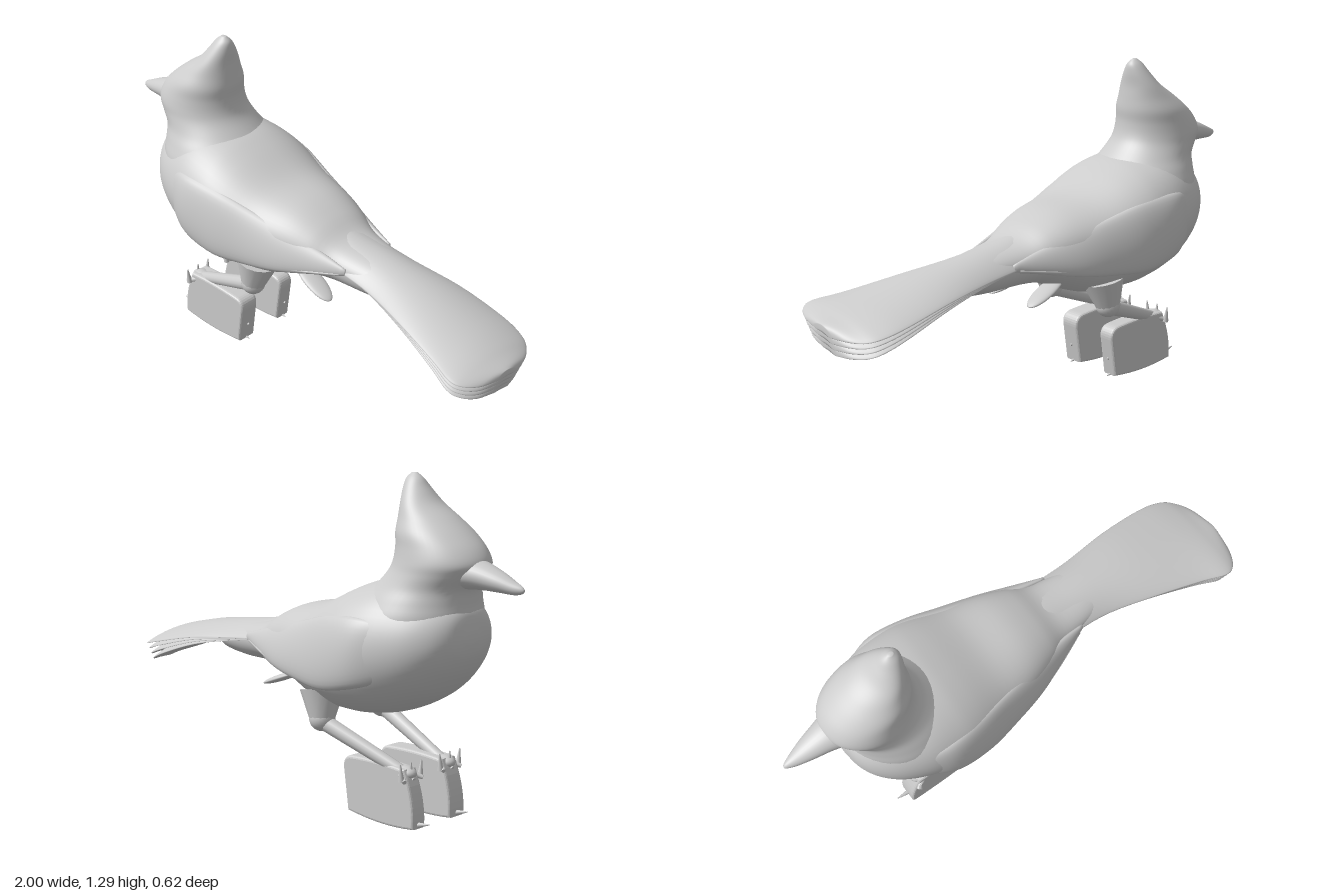
import * as THREE from 'three';

const gray = new THREE.MeshStandardMaterial({ color: 0xcccccc });
gray.name = 'plain gray';

// Smoothly interpolate rows of section numbers
function refine(rows, steps) {
  const out = [];
  const cr = (a, b, c, d, t) => 0.5 * (2 * b + (c - a) * t + (2 * a - 5 * b + 4 * c - d) * t * t + (3 * b - a - 3 * c + d) * t * t * t);
  const at = (i) => rows[Math.max(0, Math.min(rows.length - 1, i))];
  for (let i = 0; i < rows.length - 1; i++)
    for (let k = 0; k < steps; k++)
      out.push(rows[i].map((v, j) => cr(at(i - 1)[j], v, rows[i + 1][j], at(i + 2)[j], k / steps)));
  out.push(rows[rows.length - 1]);
  return out;
}

// Closed loft: ring(section, cos, sin) gives a point of each cross-section
function loft(name, rows, ring, sides = 40, steps = 5) {
  const secs = refine(rows, steps), pos = [], idx = [];
  const ends = [new THREE.Vector3(), new THREE.Vector3()];
  secs.forEach((s, i) => {
    for (let k = 0; k < sides; k++) {
      const a = (k / sides) * Math.PI * 2;
      const p = ring(s, Math.cos(a), Math.sin(a));
      pos.push(...p);
      if (i === 0) ends[0].add(new THREE.Vector3(...p).divideScalar(sides));
      if (i === secs.length - 1) ends[1].add(new THREE.Vector3(...p).divideScalar(sides));
    }
  });
  const n = secs.length, c0 = n * sides, c1 = c0 + 1, last = (n - 1) * sides;
  pos.push(...ends[0].toArray(), ...ends[1].toArray());
  for (let k = 0; k < sides; k++) {
    const m = (k + 1) % sides;
    for (let i = 0; i < n - 1; i++) {
      const a = i * sides + k, b = i * sides + m;
      idx.push(a, b, a + sides, b, b + sides, a + sides);
    }
    idx.push(c0, m, k, c1, last + k, last + m);
  }
  // Turn the faces outward when the enclosed volume comes out negative
  const v = (i) => new THREE.Vector3().fromArray(pos, i * 3);
  let vol = 0;
  for (let i = 0; i < idx.length; i += 3) vol += v(idx[i]).dot(v(idx[i + 1]).cross(v(idx[i + 2])));
  if (vol < 0) idx.reverse();
  const g = new THREE.BufferGeometry();
  g.setAttribute('position', new THREE.Float32BufferAttribute(pos, 3));
  g.setIndex(idx);
  g.computeVertexNormals();
  return mesh(name, g);
}

function mesh(name, geometry) {
  const m = new THREE.Mesh(geometry, gray);
  m.name = name;
  return m;
}

// Tapered round bar between two points
function bar(name, a, b, ra, rb) {
  const p = new THREE.Vector3(...a), q = new THREE.Vector3(...b), d = q.clone().sub(p);
  const m = mesh(name, new THREE.CylinderGeometry(rb, ra, d.length(), 14));
  m.position.copy(p).add(q).multiplyScalar(0.5);
  m.quaternion.setFromUnitVectors(new THREE.Vector3(0, 1, 0), d.normalize());
  return m;
}

function ball(name, p, r, scale = [1, 1, 1]) {
  const m = mesh(name, new THREE.SphereGeometry(r, 24, 16));
  m.position.set(...p);
  m.scale.set(...scale);
  return m;
}

export function createModel() {
  const bird = new THREE.Group();
  bird.name = 'crestedBird';
  const fat = (c, e) => Math.sign(c) * Math.abs(c) ** e;

  // Body: x, top, bottom, half width, height of widest line
  bird.add(loft('body', [
    [-0.78, 0.76, 0.72, 0.03, 0.74], [-0.765, 0.83, 0.66, 0.11, 0.74], [-0.72, 0.87, 0.585, 0.18, 0.72],
    [-0.64, 0.9, 0.505, 0.24, 0.7], [-0.52, 0.93, 0.44, 0.285, 0.68], [-0.4, 0.915, 0.41, 0.3, 0.67],
    [-0.3, 0.88, 0.402, 0.295, 0.66], [-0.15, 0.812, 0.41, 0.26, 0.64], [0, 0.78, 0.465, 0.215, 0.64],
    [0.1, 0.742, 0.505, 0.18, 0.63], [0.2, 0.69, 0.515, 0.14, 0.61], [0.35, 0.665, 0.515, 0.115, 0.6],
    [0.48, 0.64, 0.53, 0.09, 0.59], [0.56, 0.605, 0.56, 0.03, 0.585],
  ], ([x, t, b, w, m], c, s) => [x, m + s * (s > 0 ? t - m : m - b), w * fat(c, 0.88)], 56));

  // Head and crest: y, front x, back x, half width
  bird.add(loft('head', [
    [0.72, -0.74, -0.3, 0.24], [0.8, -0.765, -0.3, 0.235], [0.86, -0.765, -0.335, 0.21], [0.91, -0.772, -0.385, 0.183],
    [0.96, -0.805, -0.43, 0.168], [1.0, -0.822, -0.45, 0.162], [1.05, -0.797, -0.458, 0.152], [1.1, -0.745, -0.456, 0.14],
    [1.15, -0.68, -0.46, 0.113], [1.2, -0.607, -0.464, 0.086], [1.25, -0.562, -0.463, 0.055], [1.285, -0.535, -0.468, 0.03],
    [1.305, -0.51, -0.488, 0.008],
  ], ([y, f, b, w], c, s) => [(f + b) / 2 + ((b - f) / 2) * c, y, w * s], 48));

  // Beak: x, y, half height, half width
  bird.add(loft('beak', [
    [-0.74, 0.968, 0.06, 0.09], [-0.82, 0.965, 0.05, 0.064], [-0.9, 0.95, 0.036, 0.044],
    [-0.96, 0.935, 0.023, 0.025], [-0.99, 0.931, 0.013, 0.012], [-1, 0.93, 0.004, 0.004],
  ], ([x, y, h, w], c, s) => [x, y + h * s, w * c], 28));

  // Tail: layered feather fans; x, right edge, left edge, crown height, arch, tilt
  for (let i = 0; i < 4; i++) {
    bird.add(loft('tailFeathers' + (i + 1), [
      [0.12, -0.13, 0.13, 0.7, 0.08, 0], [0.25, -0.135, 0.13, 0.672, 0.06, 0], [0.4, -0.14, 0.14, 0.652, 0.055, 0],
      [0.6, -0.16, 0.19, 0.622, 0.045, 0.004], [0.8, -0.165, 0.245, 0.578, 0.035, 0.012], [0.9, -0.147, 0.278, 0.553, 0.028, 0.018],
      [0.95, -0.11, 0.26, 0.536, 0.022, 0.018], [0.985, -0.05, 0.2, 0.523, 0.015, 0.012], [1, 0.02, 0.12, 0.515, 0.01, 0.008],
    ], ([x, a, b, y, arch, tilt], c, s) => [
      x - 0.008 * i * x, y - 0.025 * i * x * x - arch * c * c + tilt * c + 0.013 * s,
      (a + b) / 2 + ((b - a) / 2) * c * (1 - 0.025 * i),
    ], 36, 4));
  }

  for (const side of [1, -1]) {
    const label = side > 0 ? 'left' : 'right';

    // Folded wing: x, centre height, distance from middle, half height, half thickness, lean
    const wing = [
      [-0.63, 0.68, 0.215, 0.02, 0.01, 0], [-0.56, 0.685, 0.235, 0.1, 0.03, 0], [-0.45, 0.675, 0.265, 0.13, 0.042, 0.01],
      [-0.3, 0.655, 0.26, 0.135, 0.04, 0.02], [-0.15, 0.64, 0.232, 0.11, 0.036, 0.025], [0, 0.63, 0.2, 0.08, 0.03, 0.025],
      [0.15, 0.625, 0.155, 0.045, 0.022, 0.015], [0.27, 0.62, 0.125, 0.014, 0.008, 0],
    ];
    bird.add(loft(label + 'Wing', wing, ([x, y, z, h, t, lean], c, s) =>
      [x, y + h * s, side * (z + t * c - lean * s)], 32));
    // Flight feathers along the lower wing edge
    bird.add(loft(label + 'FlightFeathers', [
      [-0.36, 0.53, 0.235, 0.008, 0.012], [-0.27, 0.528, 0.235, 0.015, 0.034], [-0.1, 0.55, 0.215, 0.015, 0.04],
      [0.08, 0.58, 0.17, 0.015, 0.04], [0.25, 0.608, 0.12, 0.01, 0.022],
    ], ([x, y, z, h, t], c, s) => [x, y + h * s, side * (z + t * c)], 20));

    // Small feather lobe under the rump
    const lobe = ball(label + 'RumpFeather', [0.085, 0.48, side * 0.1], 0.1, [1.08, 0.14, 0.42]);
    lobe.rotation.set(0, side * -0.15, -0.36);
    bird.add(lobe);

    // Thigh, ankle knob and shank
    const footZ = side > 0 ? 0.13 : -0.085;
    const knee = [-0.195, 0.375, side * 0.165];
    bird.add(bar(label + 'Thigh', [-0.18, 0.48, side * 0.15], knee, 0.085, 0.05));
    bird.add(ball(label + 'Knee', knee, 0.05));
    bird.add(bar(label + 'Shank', [-0.21, 0.36, side * 0.165], [-0.55, 0.215, footZ], 0.031, 0.023));
    bird.add(ball(label + 'Foot', [-0.55, 0.22, footZ], 0.032, [1.4, 0.8, 1.1]));

    // Toes and claws gripping the block
    for (const dz of [-0.05, 0, 0.05]) {
      bird.add(bar(label + 'Toe', [-0.53, 0.225, footZ + dz * 0.3], [-0.59, 0.2, footZ + dz], 0.015, 0.008));
      bird.add(bar(label + 'Claw', [-0.575, 0.2, footZ + dz], [-0.575, 0.265, footZ + dz * 1.15], 0.012, 0.002));
    }

    // Perch block: slanted slab with softened edges
    const slab = new THREE.Shape();
    slab.moveTo(-0.565, 0.23);
    slab.quadraticCurveTo(-0.45, 0.242, -0.31, 0.232);
    slab.quadraticCurveTo(-0.27, 0.23, -0.275, 0.19);
    slab.lineTo(-0.298, 0.035);
    slab.quadraticCurveTo(-0.46, 0.01, -0.61, 0.032);
    slab.quadraticCurveTo(-0.615, 0.12, -0.565, 0.23);
    const depth = side > 0 ? 0.064 : 0.048;
    const geo = new THREE.ExtrudeGeometry(slab, { depth, bevelEnabled: true, bevelThickness: 0.012, bevelSize: 0.01, bevelSegments: 3, curveSegments: 8 });
    const block = mesh(label + 'PerchBlock', geo);
    block.position.z = (side > 0 ? 0.125 : -0.088) - depth / 2;
    bird.add(block);
    // Pointed corners at the base of the block
    bird.add(bar(label + 'BlockSpur', [-0.59, 0.03, footZ - 0.005], [-0.67, 0.05, footZ - 0.005], 0.014, 0.002));
    bird.add(bar(label + 'BlockSpur', [-0.32, 0.035, footZ - 0.005], [-0.275, 0.025, footZ - 0.005], 0.012, 0.002));
    bird.add(bar(label + 'BlockSpur', [-0.3, 0.1, footZ - 0.005], [-0.272, 0.1, footZ - 0.005], 0.012, 0.004));
  }
  return bird;
}
